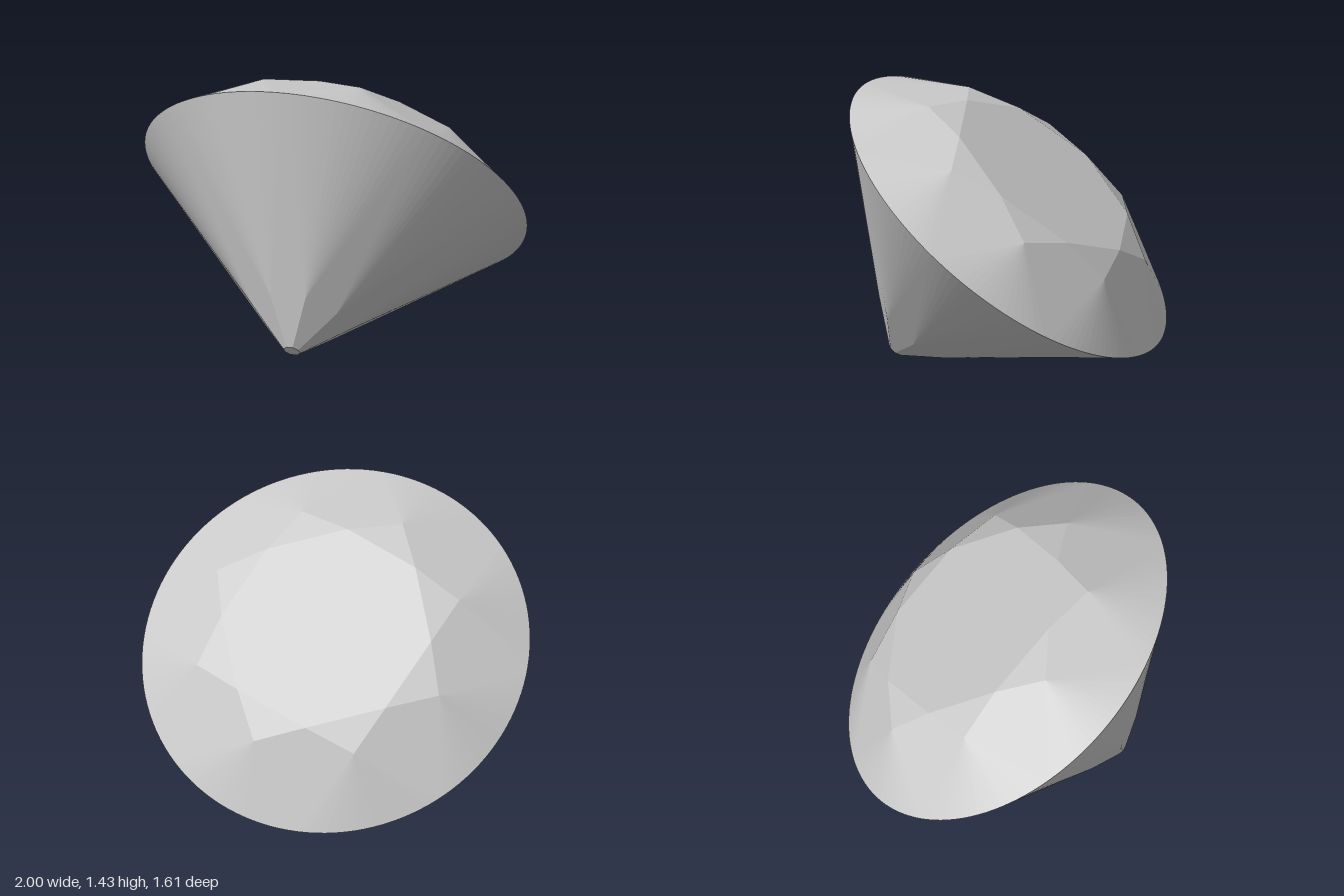
import * as THREE from 'three';

// Cut proportions, measured along and out from the stone's axis
const R = 1.0175, TABLE_R = 0.56, TABLE_H = 0.31, STAR_R = 0.70;
const CULET_R = 0.045, CULET_H = -0.98, LOWER_R = 0.25;
const N = 8, ARC = 16, C = Math.cos(Math.PI / N);

// Heights that keep the kites and the pavilion mains flat
const STAR_H = (TABLE_H / (R - TABLE_R)) * (R - STAR_R * C);
const LOWER_H = (CULET_H / (R - CULET_R * C)) * (R - LOWER_R * C);

// Tilted frame: n is the stone's axis, a and b span the girdle plane
const centre = new THREE.Vector3(0, 0.78, 0);
const n = new THREE.Vector3(0.19, 0.766, -0.613).normalize();
const a = new THREE.Vector3(-0.13, 0.365, 0.415).projectOnPlane(n).normalize();
const b = new THREE.Vector3().crossVectors(n, a);

// Point at azimuth i (in eighths of a turn), radius r and height h
function at(i, r, h) {
  const t = (i / N) * Math.PI * 2;
  return centre.clone().addScaledVector(a, r * Math.cos(t))
    .addScaledVector(b, r * Math.sin(t)).addScaledVector(n, h);
}

const table = (i) => at(i, TABLE_R, TABLE_H);
const star = (i) => at(i, STAR_R, STAR_H);
const girdle = (i) => at(i, R, 0);
const lower = (i) => at(i, LOWER_R, LOWER_H);
const culet = (i) => at(i, CULET_R, CULET_H);
const ring = (fn, offset = 0) => Array.from({ length: N }, (_, i) => fn(i + offset));

// Girdle points spanning one eighth from azimuth i
const arc = (i) => Array.from({ length: ARC + 1 }, (_, k) => girdle(i + k / ARC));

// Flat-shaded mesh from convex polygons, each cut into a triangle fan
function facets(name, polygons, material) {
  const points = [];
  for (const p of polygons)
    for (let k = 1; k < p.length - 1; k++) points.push(p[0], p[k], p[k + 1]);
  const geometry = new THREE.BufferGeometry().setFromPoints(points);
  geometry.computeVertexNormals();
  const mesh = new THREE.Mesh(geometry, material);
  mesh.name = name;
  return mesh;
}

export function createModel() {
  const group = new THREE.Group();
  group.name = 'gemstone';
  const material = new THREE.MeshStandardMaterial({ color: 0xcccccc, flatShading: true });
  const add = (name, polygons) => group.add(facets(name, polygons, material));

  // Crown: flat table, star triangles, kites, and halves fanning to the round girdle
  add('table', [ring(table)]);
  add('starFacets', ring((i) => [table(i), star(i + 0.5), table(i + 1)]));
  add('kiteFacets', ring((i) => [table(i), star(i - 0.5), girdle(i), star(i + 0.5)]));
  add('upperHalfFacets', ring((i) => [star(i + 0.5), ...arc(i)]));

  // Pavilion: long mains, halves fanning down from the girdle, and a small flat culet
  add('pavilionMains', ring((i) => [
    girdle(i), lower(i - 0.5), culet(i - 0.5), culet(i + 0.5), lower(i + 0.5),
  ]));
  add('lowerHalfFacets', ring((i) => [lower(i + 0.5), ...arc(i).reverse()]));
  add('culet', [ring(culet, 0.5).reverse()]);

  return group;
}
